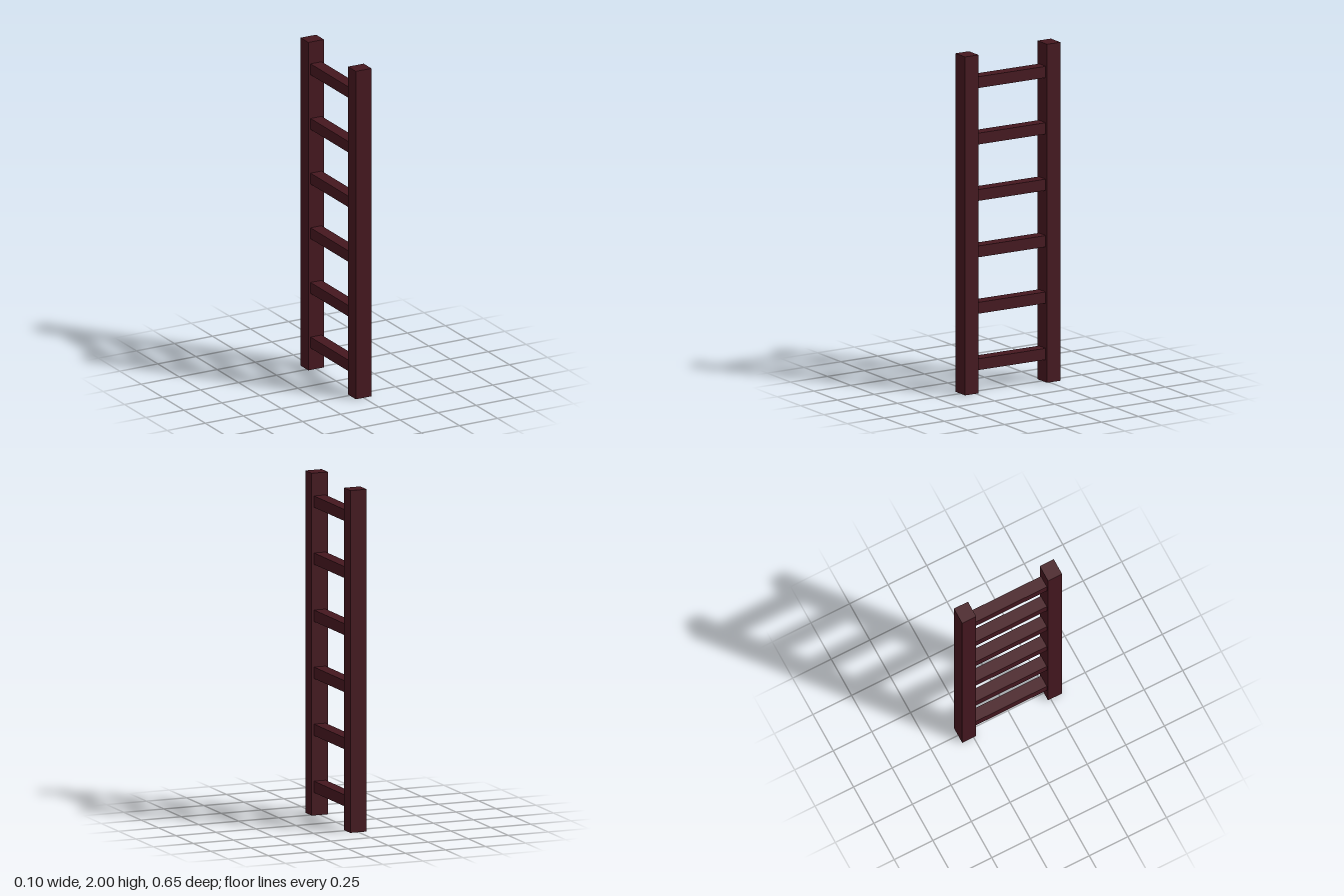
import * as THREE from 'three';

export function createModel() {
  const ladder = new THREE.Group();
  ladder.name = 'ladder';
  const wood = new THREE.MeshStandardMaterial({ color: 0x45171f });

  const addBox = (name, size, position) => {
    const mesh = new THREE.Mesh(new THREE.BoxGeometry(...size), wood);
    mesh.name = name;
    mesh.position.set(...position);
    ladder.add(mesh);
  };

  // Two upright rails
  const railDepth = 0.091;
  const railZ = 0.278;
  addBox('frontRail', [0.102, 2, railDepth], [0, 1, railZ]);
  addBox('backRail', [0.102, 2, railDepth], [0, 1, -railZ]);

  // Evenly spaced rungs, meeting the inner faces of the rails
  const rungCount = 6;
  const spacing = 2 / rungCount;
  const rungLength = 2 * railZ - railDepth;
  for (let i = 0; i < rungCount; i++) {
    addBox(`rung${i + 1}`, [0.073, 0.067, rungLength], [0, spacing * (i + 0.5), 0]);
  }

  return ladder;
}
